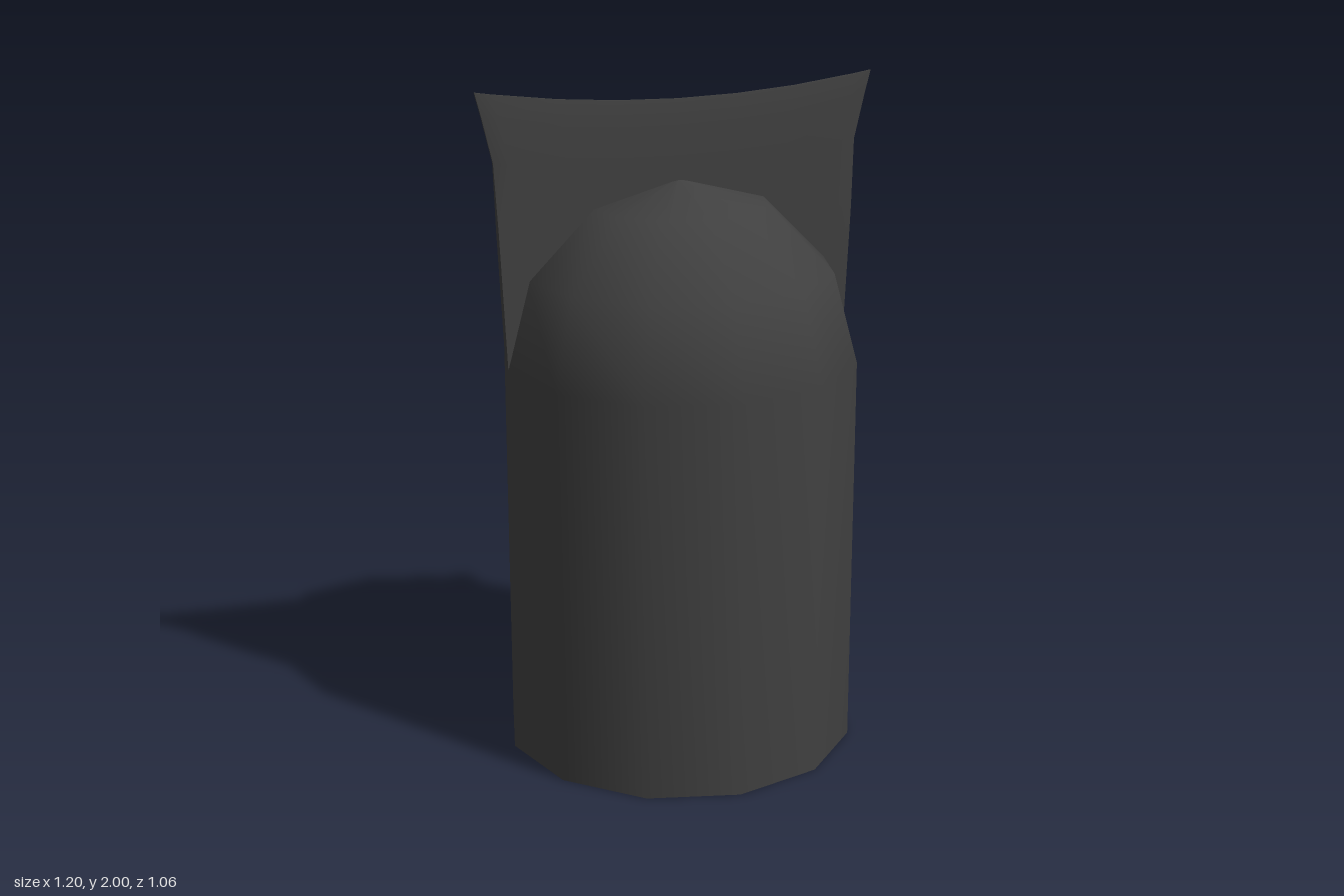
import * as THREE from 'three';

const material = new THREE.MeshStandardMaterial({ color: 0x404040 });
const RADIUS = 0.53, SHOULDER = 1.19, SIDES = 12;

function addPart(group, name, geometry) {
  const mesh = new THREE.Mesh(geometry, material);
  mesh.name = name;
  group.add(mesh);
  return mesh;
}

// Thin crest: a subdivided slab, flared at the top corners and thinned at its rim
function crestGeometry() {
  const rowHeights = [1.2, 1.4, 1.6, 1.8, 1.93, 2.0];
  const rowWidths = [0.525, 0.534, 0.543, 0.552, 0.582, 0.6];
  const columns = [0, 0.3, 0.6, 0.92, 1];
  const rows = rowHeights.length - 1;
  const geometry = new THREE.BoxGeometry(2, 1, 2, 8, rows, 1);
  const pos = geometry.attributes.position;
  for (let i = 0; i < pos.count; i++) {
    const row = Math.round((pos.getY(i) + 0.5) * rows);
    const col = Math.round(pos.getX(i) * 4);
    const u = Math.sign(col) * columns[Math.abs(col)];
    const v = (rowHeights[row] - 1.2) / 0.8;
    const rim = row === rows || (Math.abs(col) === 4 && row > 2);
    const y = 1.2 + v * (0.75 + 0.05 * u * u);
    pos.setXYZ(i, u * rowWidths[row], y, pos.getZ(i) * (rim ? 0.004 : 0.014));
  }
  geometry.computeVertexNormals();
  return geometry;
}

export function createModel() {
  const group = new THREE.Group();
  group.name = 'domedCylinderWithCrest';

  // Upright wall closing in a three-step dome
  const profile = [new THREE.Vector2(RADIUS, 0)];
  for (let i = 0; i <= 3; i++) {
    const a = (i * Math.PI) / 6;
    profile.push(new THREE.Vector2(i === 3 ? 0 : RADIUS * Math.cos(a), SHOULDER + RADIUS * Math.sin(a)));
  }
  addPart(group, 'body', new THREE.LatheGeometry(profile, SIDES));

  // Flat underside
  addPart(group, 'base', new THREE.CircleGeometry(RADIUS, SIDES).rotateX(Math.PI / 2));

  addPart(group, 'crest', crestGeometry());
  return group;
}
